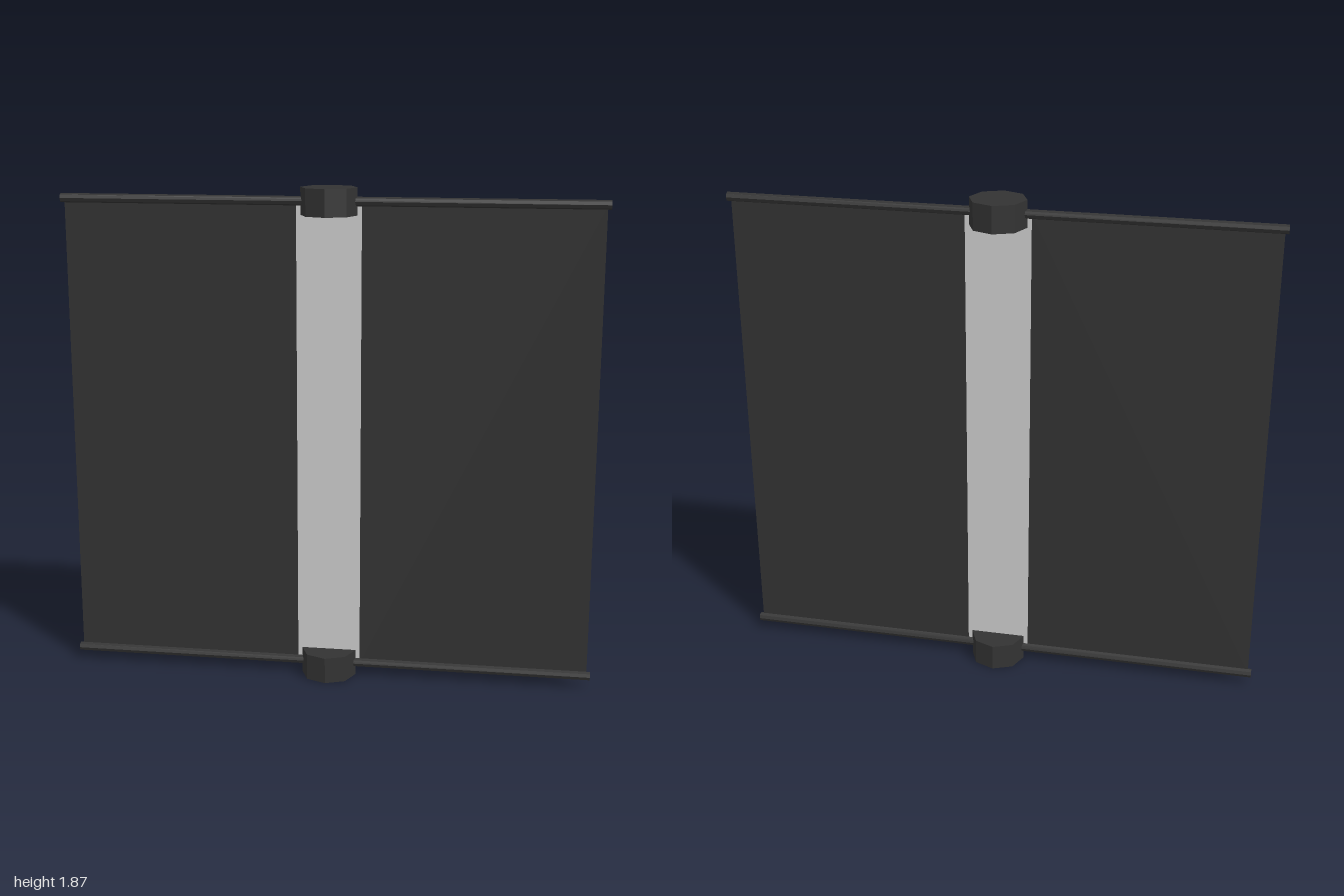
import * as THREE from 'three';

export function createModel() {
  const model = new THREE.Group();
  const dark = new THREE.MeshStandardMaterial({ color: 0x333333, flatShading: true });
  const panelMat = new THREE.MeshStandardMaterial({ color: 0x333333, side: THREE.DoubleSide });
  const whiteMat = new THREE.MeshStandardMaterial({ color: 0xffffff, side: THREE.DoubleSide });

  const add = (name, geometry, material, x, y) => {
    const mesh = new THREE.Mesh(geometry, material);
    mesh.name = name;
    mesh.position.set(x, y, 0);
    model.add(mesh);
    return mesh;
  };

  const bottomY = 0.05, topY = 1.82;
  const sheetHeight = topY - bottomY, midY = (topY + bottomY) / 2;
  const inner = 0.12, outer = 0.987;

  // Octagonal hubs, each with a rod passing through
  for (const [prefix, y] of [['bottom', bottomY], ['top', topY]]) {
    add(prefix + 'Hub', new THREE.CylinderGeometry(0.104, 0.104, 0.1, 8), dark, 0, y);
    add(prefix + 'Rod', new THREE.CylinderGeometry(0.017, 0.017, 2, 8), dark, 0, y)
      .rotation.z = Math.PI / 2;
  }

  // Flat sheets stretched between the rods
  for (const [prefix, side] of [['left', 1], ['right', -1]]) {
    add(prefix + 'Panel', new THREE.PlaneGeometry(outer - inner, sheetHeight), panelMat,
      side * (inner + outer) / 2, midY);
  }

  // White strip between the two panels
  add('centreStrip', new THREE.PlaneGeometry(inner * 2, sheetHeight), whiteMat, 0, midY);

  return model;
}
